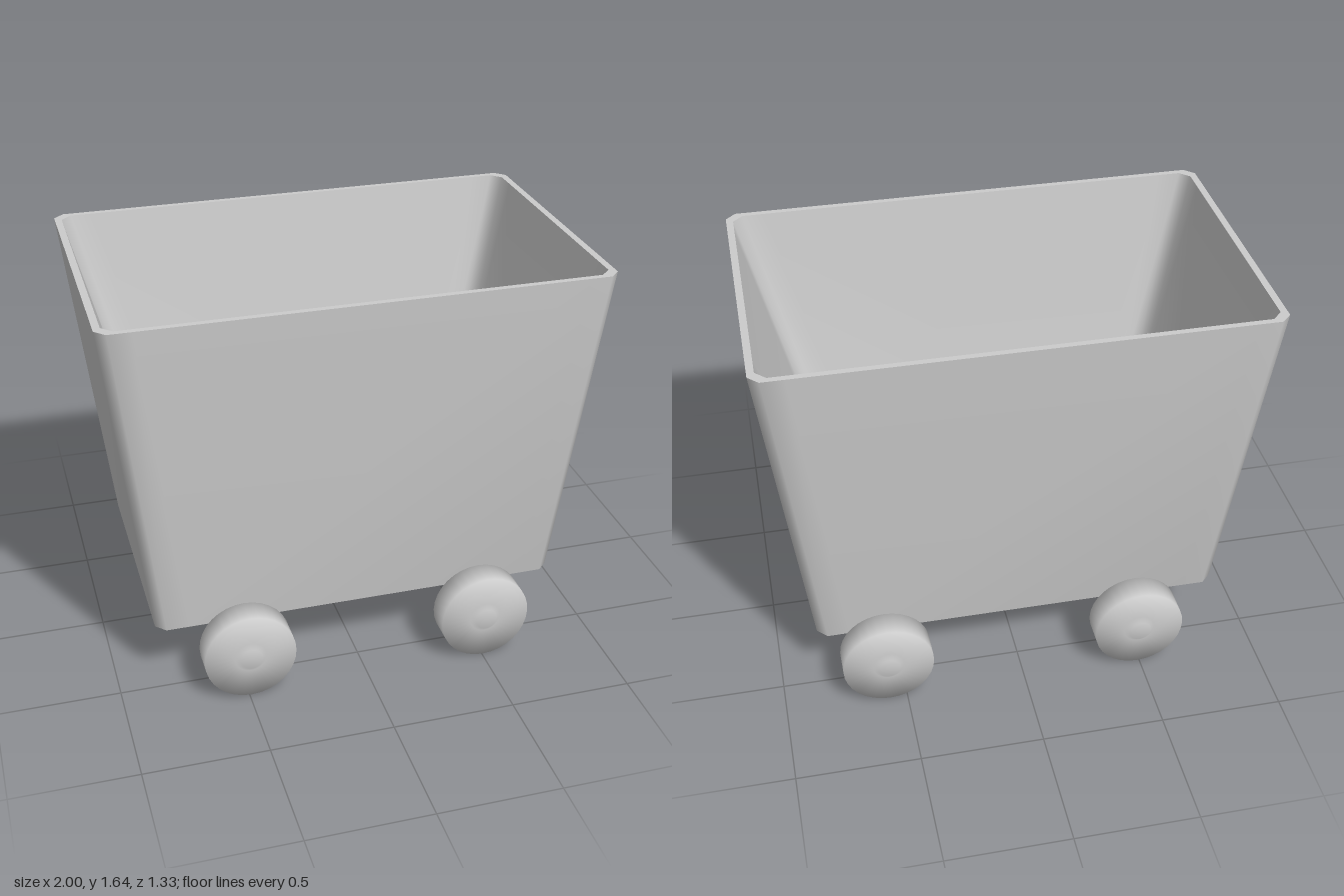
import * as THREE from 'three';

const grey = new THREE.MeshStandardMaterial({ color: 0xcccccc });

// Rectangular ring with chamfered corners: half sizes hx, hz, height y, z centre zc,
// chamfer c and a support point at distance s from each corner.
function ring({ hx, hz, y, zc, c = 0.04, s = 0.13 }) {
  const corner = [[0, s], [0, c], [c, 0], [s, 0]];
  const pts = [];
  for (const [sx, sz, flip] of [[1, 1, 0], [-1, 1, 1], [-1, -1, 0], [1, -1, 1]]) {
    const list = flip ? [...corner].reverse() : corner;
    for (const [dx, dz] of list) pts.push([sx * (hx - dx), y, zc + sz * (hz - dz)]);
  }
  return pts;
}

// Smooth skin over a stack of rings; cap closes the first ring.
// flip turns the faces towards the inside.
function loft(name, specs, cap, flip) {
  const rings = specs.map(ring);
  const n = rings[0].length;
  const pos = rings.flat(2);
  const index = [];
  const tri = (a, b, c) => (flip ? index.push(a, c, b) : index.push(a, b, c));
  for (let r = 0; r < rings.length - 1; r++) {
    for (let i = 0; i < n; i++) {
      const a = r * n + i, b = r * n + ((i + 1) % n);
      tri(a, a + n, b);
      tri(b, a + n, b + n);
    }
  }
  if (cap) {
    const centre = pos.length / 3;
    pos.push(0, specs[0].y, specs[0].zc);
    for (let i = 0; i < n; i++) tri(centre, i, (i + 1) % n);
  }
  const geo = new THREE.BufferGeometry();
  geo.setAttribute('position', new THREE.Float32BufferAttribute(pos, 3));
  geo.setIndex(index);
  geo.computeVertexNormals();
  const mesh = new THREE.Mesh(geo, grey);
  mesh.name = name;
  return mesh;
}

export function createModel() {
  const model = new THREE.Group();
  model.name = 'wheeledBin';

  // Tapered bin: outer shell, thin rim, thicker-bottomed interior
  const outerTop = { hx: 1, hz: 0.6125, y: 1.64, zc: -0.0125 };
  const innerTop = { hx: 0.972, hz: 0.588, y: 1.64, zc: -0.0125 };
  const bin = new THREE.Group();
  bin.name = 'bin';
  bin.add(
    loft('outerShell', [
      { hx: 0.76, hz: 0.44, y: 0.28, zc: -0.0075 },
      { hx: 0.84, hz: 0.5175, y: 0.28, zc: -0.0075 },
      outerTop,
    ], true, false),
    loft('rim', [outerTop, innerTop], false, false),
    loft('interior', [
      { hx: 0.5, hz: 0.33, y: 0.38, zc: -0.015 },
      { hx: 0.66, hz: 0.395, y: 0.45, zc: 0 },
      innerTop,
    ], true, true),
  );
  model.add(bin);

  // Wheels: disc with a small raised hub, axis pointing outwards
  const profile = [
    [0, 0], [0.11, 0], [0.187, 0], [0.187, 0.11],
    [0.065, 0.11], [0.045, 0.125], [0, 0.125],
  ].map(([r, h]) => new THREE.Vector2(r, h));
  const wheelGeo = new THREE.LatheGeometry(profile, 32);
  const wheels = [
    ['frontRightWheel', -0.49, 1], ['frontLeftWheel', 0.505, 1],
    ['backRightWheel', -0.49, -1], ['backLeftWheel', 0.57, -1],
  ];
  for (const [name, x, side] of wheels) {
    const wheel = new THREE.Mesh(wheelGeo, grey);
    wheel.name = name;
    wheel.position.set(x, 0.188, side * 0.542);
    wheel.rotation.x = side * Math.PI / 2;
    model.add(wheel);
  }
  return model;
}
